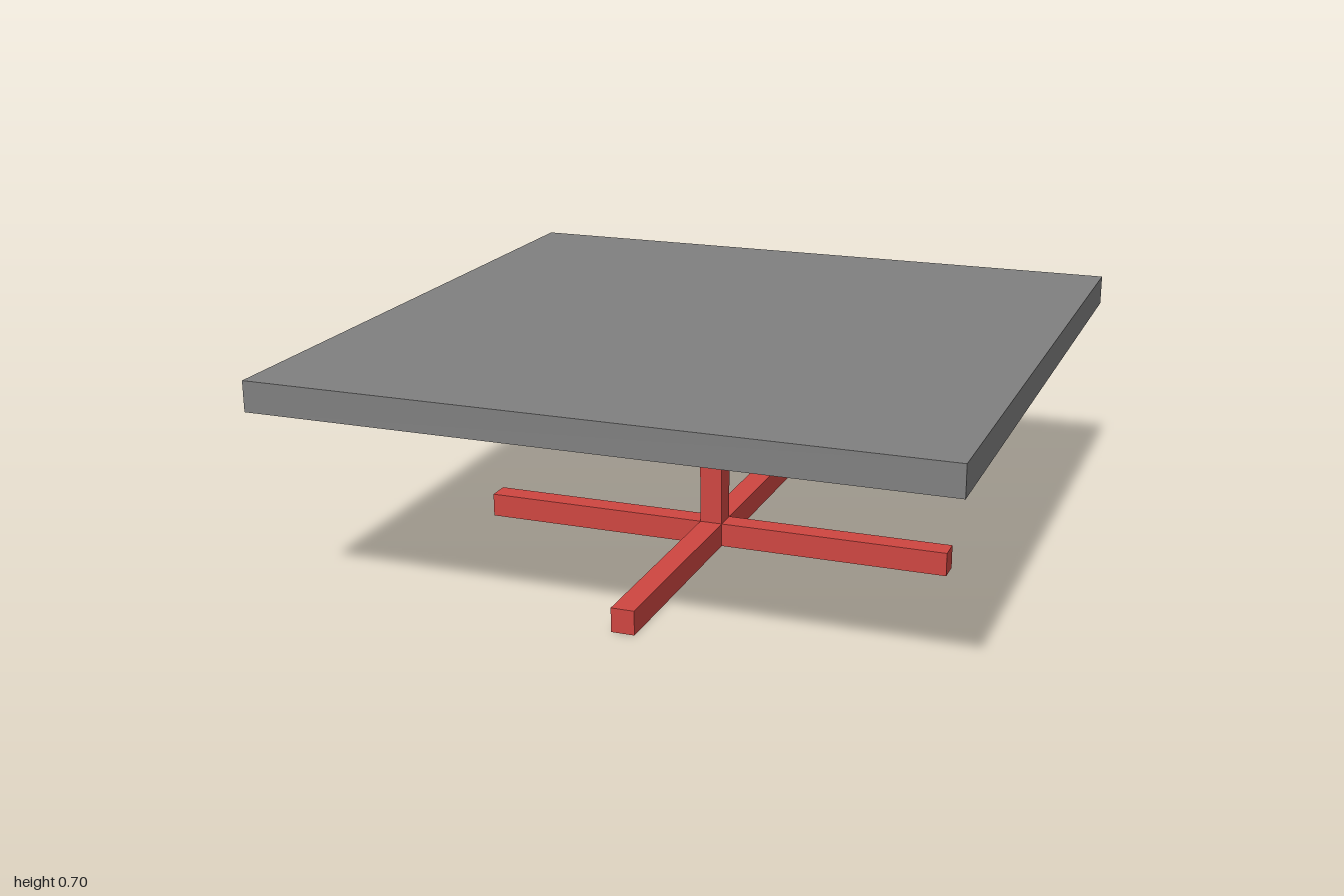
import * as THREE from 'three';

export function createModel() {
  const model = new THREE.Group();
  model.name = 'pedestalTable';
  const grey = new THREE.MeshStandardMaterial({ name: 'grey top', color: 0x808080 });
  const red = new THREE.MeshStandardMaterial({ name: 'red frame', color: 0xcf4641 });

  const beam = 0.035; // half the width of every frame beam

  function add(name, geometry, material, y) {
    const mesh = new THREE.Mesh(geometry, material);
    mesh.name = name;
    mesh.position.y = y;
    model.add(mesh);
  }

  // Plus-shaped slab lying flat, with its underside at y = 0
  function crossGeometry(reach, height) {
    const points = [];
    for (let i = 0; i < 4; i++) {
      const turn = (i * Math.PI) / 2;
      for (const [x, y] of [[reach, -beam], [reach, beam], [beam, beam]]) {
        points.push(new THREE.Vector2(x, y).rotateAround(new THREE.Vector2(), turn));
      }
    }
    const geometry = new THREE.ExtrudeGeometry(new THREE.Shape(points), {
      depth: height, bevelEnabled: false,
    });
    return geometry.rotateX(-Math.PI / 2);
  }

  // Four feet on the floor
  add('footCross', crossGeometry(0.747, 0.073), red, 0);
  // Central column
  add('post', new THREE.BoxGeometry(beam * 2, 0.48, beam * 2), red, 0.313);
  // Shorter arms carrying the top
  add('supportCross', crossGeometry(0.389, 0.059), red, 0.553);
  // Square slab
  add('tableTop', new THREE.BoxGeometry(2, 0.09, 2), grey, 0.657);

  return model;
}
